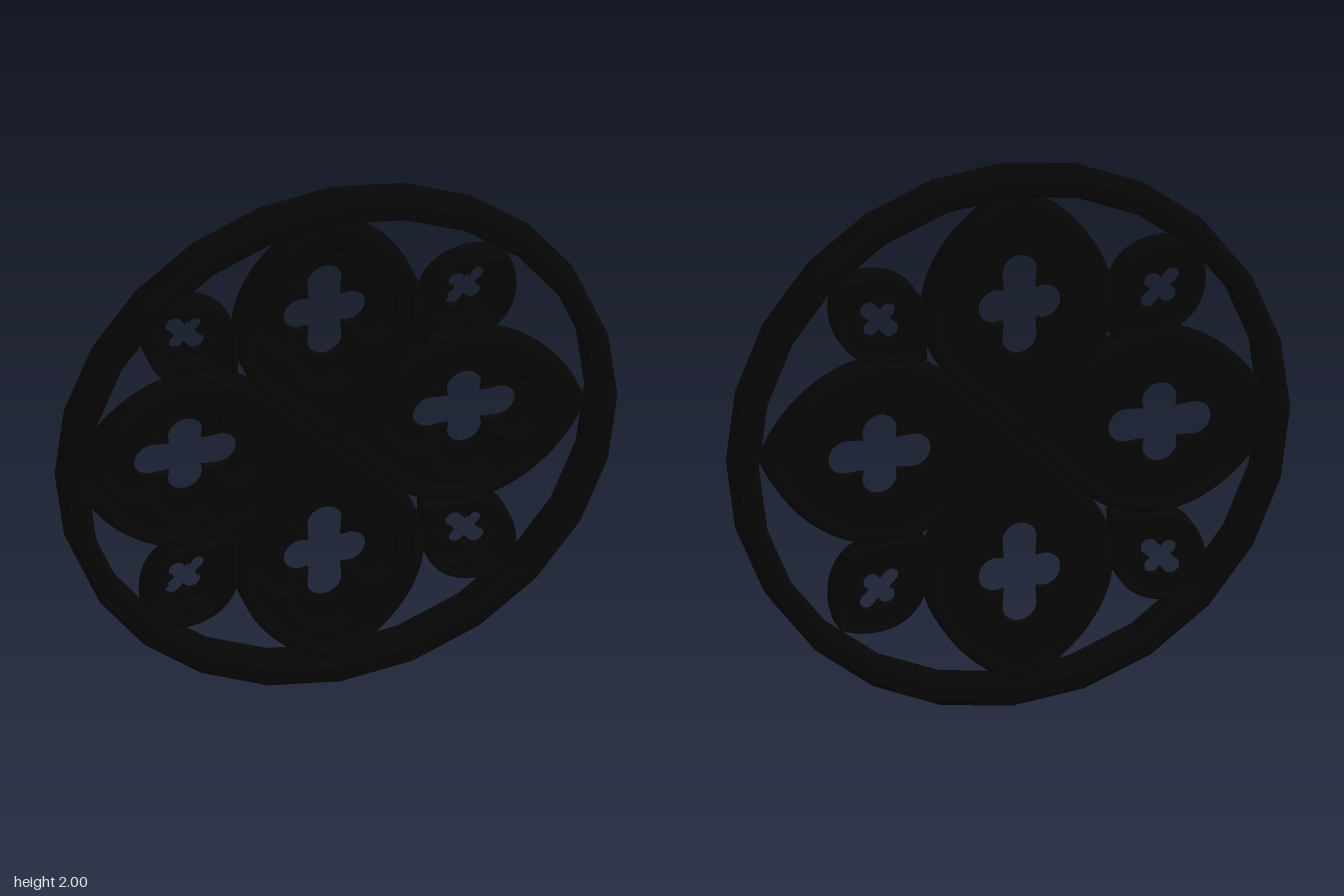
import * as THREE from 'three';

const material = new THREE.MeshStandardMaterial({ color: 0x060606 });
const MID = 0.503; // distance from petal base to the middle of its piercing

// Petal outline: square base at the origin, pointed tip at +y, scaled k about its middle
function petalPath(k, PathType) {
  const X = x => x * k, Y = y => MID + (y - MID) * k;
  const p = new PathType();
  p.moveTo(X(0), Y(0));
  p.lineTo(X(0.25), Y(0.25));
  p.bezierCurveTo(X(0.295), Y(0.3), X(0.335), Y(0.38), X(0.335), Y(0.49));
  p.bezierCurveTo(X(0.335), Y(0.66), X(0.2), Y(0.84), X(0), Y(0.92));
  p.bezierCurveTo(X(-0.2), Y(0.84), X(-0.335), Y(0.66), X(-0.335), Y(0.49));
  p.bezierCurveTo(X(-0.335), Y(0.38), X(-0.295), Y(0.3), X(-0.25), Y(0.25));
  p.lineTo(X(0), Y(0));
  return p;
}

// Four-lobed opening: a = reach along the petal, b = reach across, w = lobe radius
function quatrefoil(a, b, w) {
  const p = new THREE.Path();
  const c = w * 0.93; // inner corners
  p.moveTo(c, MID + c);
  for (let i = 0; i < 4; i++) {
    const t = (i + 1) * Math.PI / 2; // lobe direction: up, left, down, right
    const reach = (i % 2 ? b : a) - w;
    const dx = Math.cos(t), dy = Math.sin(t);
    p.absarc(dx * reach, MID + dy * reach, w, t - Math.PI / 2, t + Math.PI / 2, false);
    p.lineTo(c * (dx - dy), MID + c * (dy + dx));
  }
  return p;
}

// Plate from z = back to z = front with chamfered edges inside its outline
function plate(name, outline, hole, back, front, bevel) {
  outline.holes.push(hole);
  const geometry = new THREE.ExtrudeGeometry(outline, {
    depth: front - back - 2 * bevel, curveSegments: 14,
    bevelEnabled: true, bevelThickness: bevel, bevelSize: bevel, bevelOffset: -bevel, bevelSegments: 2,
  });
  geometry.translate(0, 0, back + bevel);
  const mesh = new THREE.Mesh(geometry, material);
  mesh.name = name;
  return mesh;
}

// Raised rim, sunk foiled moulding and thin pierced panel near the back
function createPetal(name) {
  const petal = new THREE.Group();
  petal.name = name;
  petal.add(
    plate('petalRim', petalPath(1, THREE.Shape), petalPath(0.87, THREE.Path), -0.055, 0.05, 0.01),
    plate('foilMoulding', petalPath(0.91, THREE.Shape), quatrefoil(0.28, 0.245, 0.115), -0.048, 0.02, 0.012),
    plate('piercedPanel', petalPath(0.9, THREE.Shape), quatrefoil(0.185, 0.148, 0.063), -0.05, -0.028, 0.005),
  );
  return petal;
}

export function createModel() {
  const model = new THREE.Group();
  model.name = 'roseWindow';

  // Outer ring: 24 straight sides with chamfered edges
  const profile = [
    [0.91, -0.05], [0.925, -0.063], [0.985, -0.063], [1, -0.05],
    [1, 0.05], [0.985, 0.063], [0.925, 0.063], [0.91, 0.05], [0.91, -0.05],
  ].map(([r, z]) => new THREE.Vector2(r, z));
  const ringMaterial = material.clone();
  ringMaterial.flatShading = true;
  const ring = new THREE.Mesh(new THREE.LatheGeometry(profile, 24).rotateX(Math.PI / 2), ringMaterial);
  ring.name = 'outerRing';
  ring.position.y = 1;
  model.add(ring);

  // Tracery sits slightly off the ring's centre
  const tracery = new THREE.Group();
  tracery.name = 'tracery';
  tracery.position.set(-0.03, 1, 0);
  model.add(tracery);

  for (let i = 0; i < 4; i++) {
    const angle = i * Math.PI / 2;
    const large = createPetal('largePetal');
    large.rotation.z = angle;
    tracery.add(large);

    // Smaller petal in the gap on the diagonal
    const small = createPetal('smallPetal');
    const diagonal = angle + Math.PI / 4;
    small.rotation.z = diagonal;
    small.position.set(-Math.sin(diagonal) * 0.475, Math.cos(diagonal) * 0.475, 0);
    small.scale.set(0.475, 0.475, 1);
    tracery.add(small);
  }
  return model;
}
